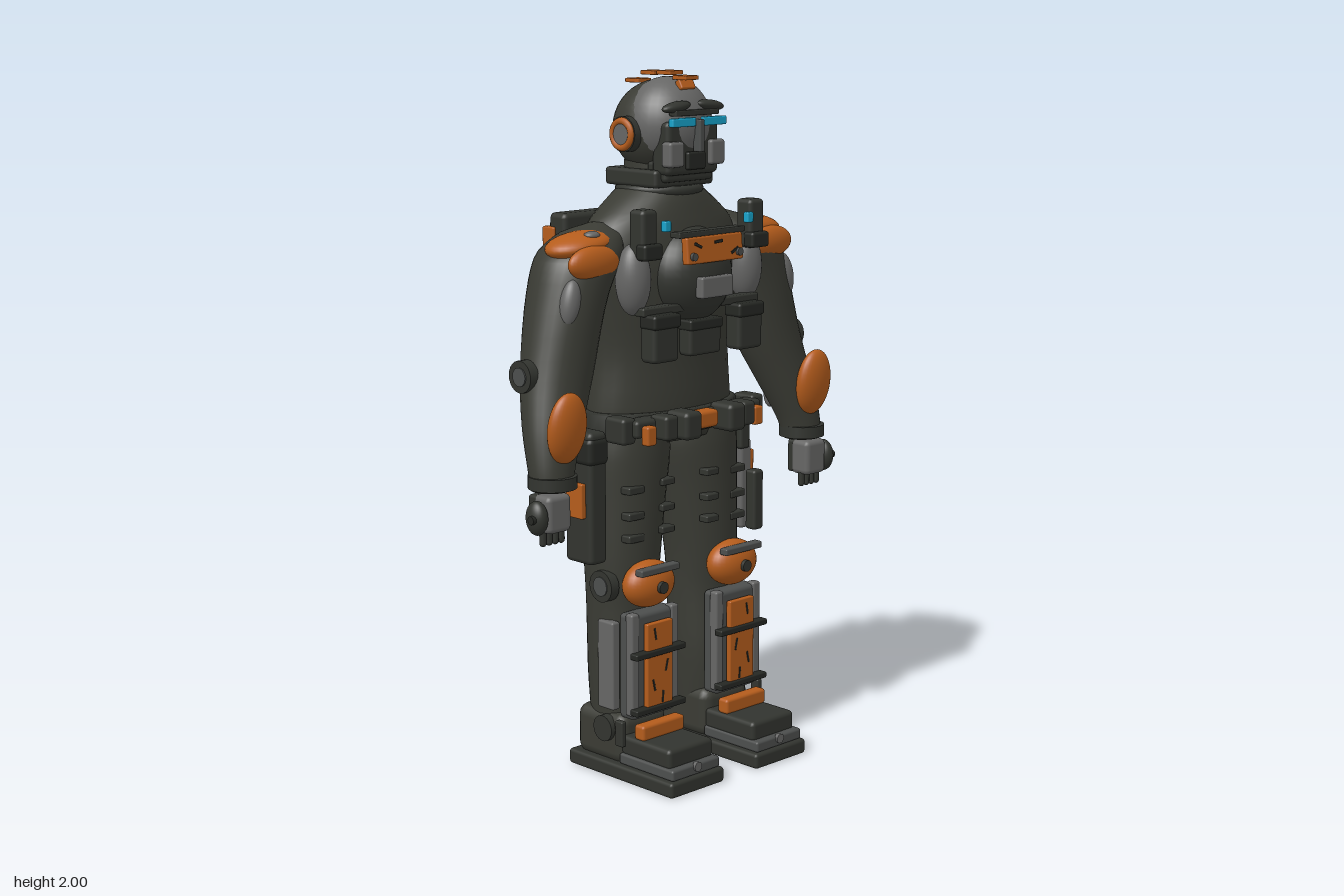
import * as THREE from 'three';
import { RoundedBoxGeometry } from 'three/addons/geometries/RoundedBoxGeometry.js';

const mat = (name, color) => Object.assign(new THREE.MeshStandardMaterial({ color }), { name });
const suit = mat('darkSuit', 0x3a3b34);
const gear = mat('charcoalGear', 0x32342f);
const black = mat('blackTrim', 0x252723);
const steel = mat('steelGrey', 0x666665);
const iron = mat('ironGrey', 0x4c4e4d);
const orange = mat('burntOrange', 0xb45c1c);
const cyan = mat('cyanGlow', 0x18a4cc);

// Closed smooth body from horizontal oval sections, bottom to top: [y, cx, cz, rx, rz]
function loft(sections, mirror = 1, n = 32) {
  const pos = [], idx = [];
  for (const [y, cx, cz, rx, rz] of sections) for (let j = 0; j < n; j++) {
    const a = j / n * Math.PI * 2;
    pos.push(cx * mirror + rx * Math.cos(a), y, cz + rz * Math.sin(a));
  }
  const m = sections.length;
  for (let i = 0; i < m - 1; i++) for (let j = 0; j < n; j++) {
    const a = i * n + j, b = i * n + (j + 1) % n;
    idx.push(a, a + n, b, b, a + n, b + n);
  }
  [0, m - 1].forEach((i, end) => {
    const [y, cx, cz] = sections[i], c = pos.length / 3;
    pos.push(cx * mirror, y, cz);
    for (let j = 0; j < n; j++) {
      const a = i * n + j, b = i * n + (j + 1) % n;
      idx.push(c, end ? b : a, end ? a : b);
    }
  });
  const g = new THREE.BufferGeometry();
  g.setAttribute('position', new THREE.Float32BufferAttribute(pos, 3));
  g.setIndex(idx);
  g.computeVertexNormals();
  return g;
}

// Insert sections along a smooth curve through the given ones
function smooth(sections, steps = 24) {
  const c = new THREE.CatmullRomCurve3(sections.map(s => new THREE.Vector3(s[0], s[1], s[2])));
  const r = new THREE.CatmullRomCurve3(sections.map(s => new THREE.Vector3(s[3], s[4], 0)));
  return Array.from({ length: steps + 1 }, (_, i) => {
    const p = c.getPoint(i / steps), q = r.getPoint(i / steps);
    return [p.x, p.y, p.z, q.x, q.y];
  });
}

export function createModel() {
  const root = new THREE.Group();
  root.name = 'armouredTrooper';
  const add = (name, geo, m, x = 0, y = 0, z = 0, rot = [0, 0, 0]) => {
    const mesh = new THREE.Mesh(geo, m);
    mesh.name = name;
    mesh.position.set(x, y, z);
    mesh.rotation.set(...rot);
    root.add(mesh);
    return mesh;
  };
  const box = (name, m, [w, h, d], [x, y, z], rot) =>
    add(name, new RoundedBoxGeometry(w, h, d, 2, Math.min(w, h, d) * 0.22), m, x, y, z, rot);
  const ball = (name, m, [rx, ry, rz], [x, y, z], rot) =>
    add(name, new THREE.SphereGeometry(1, 32, 20), m, x, y, z, rot).scale.set(rx, ry, rz);
  const disc = (name, m, r, len, [x, y, z], rot) =>
    add(name, new THREE.CylinderGeometry(r, r, len, 24), m, x, y, z, rot);
  const X = [0, 0, Math.PI / 2], Z = [Math.PI / 2, 0, 0];
  const both = fn => [1, -1].forEach(fn);

  // Torso, collar
  add('torso', loft(smooth([[.96, 0, -.03, .245, .12], [1.05, 0, -.03, .255, .14], [1.2, 0, -.03, .243, .14],
    [1.35, 0, -.03, .262, .152], [1.48, 0, -.03, .285, .155], [1.58, 0, -.03, .25, .14],
    [1.64, 0, -.03, .175, .125], [1.68, 0, -.03, .115, .11]])), suit);
  disc('neck', suit, .1, .12, [0, 1.69, -.03]);
  box('collar', gear, [.23, .05, .21], [0, 1.705, -.03]);
  add('collarRing', new THREE.TorusGeometry(.112, .014, 10, 32), gear, 0, 1.67, -.03, Z);

  // Head, helmet shell and face
  ball('head', suit, [.136, .136, .138], [0, 1.84, -.022]);
  ball('helmetShell', steel, [.131, .133, .118], [0, 1.851, .006]);
  box('faceMask', gear, [.2, .15, .07], [0, 1.79, .075]);
  box('jaw', gear, [.19, .06, .08], [0, 1.725, .055]);
  box('noseRidge', iron, [.018, .09, .03], [0, 1.825, .128]);
  box('mouthGuard', black, [.07, .05, .03], [0, 1.755, .108]);
  box('browBar', gear, [.17, .016, .03], [0, 1.888, .11]);
  both(s => {
    box('visor', cyan, [.092, .024, .02], [s * .06, 1.863, .124]);
    ball('brow', gear, [.052, .015, .022], [s * .066, 1.905, .105], [0, 0, -s * .12]);
    box('cheekPlate', steel, [.056, .07, .04], [s * .08, 1.775, .107]);
    disc('earCup', gear, .05, .03, [s * .135, 1.828, -.022], X);
    add('earRing', new THREE.TorusGeometry(.037, .01, 10, 28), orange, s * .152, 1.828, -.022, [0, Math.PI / 2, 0]);
    disc('earCentre', steel, .03, .02, [s * .148, 1.828, -.022], X);
  });
  [[.075, 1.982], [.013, 1.994], [-.052, 1.992], [-.115, 1.968]].forEach(([z, y]) => {
    box('crestPlate', orange, [.052, .012, .055], [0, y, z]);
  });
  box('crestFront', orange, [.055, .03, .02], [0, 1.962, .075], [-.5, 0, 0]);

  // Chest armour, orange plate and pouches
  ball('chestPlate', gear, [.14, .14, .11], [0, 1.435, .085]);
  box('chestBib', orange, [.22, .075, .025], [0, 1.515, .183], [-.08, 0, 0]);
  box('chestBibTop', gear, [.26, .016, .04], [0, 1.56, .165]);
  box('chestUnit', steel, [.125, .06, .03], [0, 1.41, .192]);
  box('chestStrap', gear, [.46, .024, .04], [0, 1.352, .125]);
  box('centrePouch', gear, [.125, .1, .05], [0, 1.262, .135]);
  box('centreFlap', black, [.13, .03, .055], [0, 1.3, .137]);
  [[-.07, 1.53], [.075, 1.505], [.01, 1.535]].forEach(([x, y]) =>
    box('chestScuff', black, [.03, .008, .004], [x, y, .197], [0, 0, x * 6]));
  both(s => {
    ball('pectoral', steel, [.05, .1, .05], [s * .222, 1.44, .095]);
    box('shoulderStrap', gear, [.058, .14, .06], [s * .212, 1.565, .125]);
    box('strapClip', black, [.07, .045, .04], [s * .212, 1.52, .15]);
    box('chestLight', cyan, [.024, .03, .02], [s * .163, 1.588, .165]);
    disc('bibBolt', iron, .011, .012, [s * .09, 1.5, .2], Z);
    box('chestPouch', gear, [.098, .13, .06], [s * .168, 1.275, .145]);
    box('chestFlap', black, [.104, .04, .066], [s * .168, 1.325, .147]);
  });

  // Belt
  add('belt', loft([[.985, 0, -.03, .262, .148], [.99, 0, -.03, .272, .158], [1.05, 0, -.03, .272, .158], [1.055, 0, -.03, .262, .148]]), gear);
  box('beltFront', gear, [.5, .05, .06], [0, 1.025, .11]);
  box('buckle', orange, [.078, .05, .05], [0, 1.028, .15]);
  both(s => {
    box('beltPouch', gear, [.065, .08, .09], [s * .088, 1.025, .16]);
    box('sidePouch', gear, [.05, .07, .07], [s * .155, 1.025, .15]);
    box('beltClip', orange, [.035, .055, .03], [s * .215, 1.008, .15]);
    box('hipPouch', gear, [.05, .075, .08], [s * .258, 1.02, .08]);
    box('rearPouch', gear, [.1, .09, .07], [s * .07, 1.025, -.222]);
    box('rearSidePouch', gear, [.075, .08, .07], [s * .195, 1.025, -.18]);
  });

  // Backpack
  box('packFrame', gear, [.46, .4, .07], [0, 1.4, -.21]);
  box('packLower', gear, [.36, .1, .05], [0, 1.18, -.19]);
  box('packPanel', iron, [.21, .27, .04], [0, 1.44, -.258]);
  box('packTop', black, [.15, .02, .02], [0, 1.55, -.283]);
  box('packBarLow', black, [.15, .016, .02], [0, 1.5, -.283]);
  box('packBase', black, [.2, .06, .05], [0, 1.28, -.26]);
  add('packDialRing', new THREE.TorusGeometry(.038, .013, 10, 28), orange, 0, 1.415, -.288);
  disc('packDial', steel, .03, .03, [0, 1.415, -.283], Z);
  both(s => {
    box('packSideStrip', orange, [.025, .32, .05], [s * .225, 1.4, -.24]);
    box('packEdge', gear, [.02, .34, .03], [s * .198, 1.4, -.25]);
    disc('tank', steel, .035, .19, [s * .165, 1.375, -.275]);
    disc('tankCap', black, .037, .025, [s * .165, 1.475, -.275]);
    box('tankFoot', gear, [.08, .055, .08], [s * .165, 1.25, -.25]);
    box('packLight', cyan, [.034, .065, .02], [s * .125, 1.535, -.275]);
  });

  both(s => {
    // Arms
    add('arm', loft(smooth([[.89, .505, .07, .06, .055], [.95, .497, .06, .069, .062], [1.05, .47, .035, .088, .077],
      [1.2, .42, .0, .107, .097], [1.4, .363, -.02, .112, .116], [1.5, .315, -.025, .125, .12],
      [1.56, .27, -.03, .09, .09], [1.59, .24, -.03, .02, .02]]), s), suit);
    ball('shoulderPadTop', orange, [.108, .036, .078], [s * .335, 1.538, .0], [0, 0, -s * .12]);
    ball('shoulderPadFront', orange, [.09, .048, .032], [s * .348, 1.495, .072]);
    ball('padScuff', steel, [.025, .012, .02], [s * .325, 1.566, .04]);
    ball('upperArmPatch', steel, [.03, .068, .03], [s * .425, 1.39, .06], [0, 0, s * .2]);
    disc('elbowDisc', gear, .045, .03, [s * .532, 1.195, -.01], X);
    disc('elbowBolt', iron, .026, .034, [s * .534, 1.195, -.01], X);
    ball('forearmGuard', orange, [.065, .1, .035], [s * .495, 1.065, .122], [.12, 0, 0]);
    ball('forearmScuff', steel, [.02, .04, .02], [s * .475, 1.01, -.035]);
    disc('cuff', gear, .068, .035, [s * .503, .912, .07]);
    // Hands
    box('palm', steel, [.085, .105, .07], [s * .518, .83, .085]);
    box('handBack', gear, [.08, .1, .04], [s * .52, .83, .052]);
    ball('handGuard', gear, [.026, .048, .036], [s * .578, .825, .09]);
    disc('knuckleBolt', black, .012, .03, [s * .595, .825, .1], X);
    for (let i = 0; i < 4; i++)
      add('finger', new THREE.CapsuleGeometry(.01, .035, 4, 10), gear, s * (.487 + i * .022), .767, .085);

    // Legs
    add('leg', loft(smooth([[.1, .165, -.015, .085, .09], [.3, .162, -.015, .1, .105], [.48, .162, -.02, .104, .1],
      [.6, .16, -.02, .11, .108], [.8, .147, -.032, .126, .125], [.92, .138, -.035, .135, .132], [1.0, .135, -.03, .125, .125]]), s), suit);
    [.85, .775, .71].forEach(y => {
      box('thighBandInner', gear, [.05, .02, .035], [s * .09, y, .085]);
      box('thighBandOuter', gear, [.06, .022, .04], [s * .205, y - .01, .072]);
    });
    // Knees
    ball('kneePad', orange, [.09, .068, .055], [s * .17, .567, .1]);
    box('kneeBar', iron, [.15, .02, .03], [s * .17, .615, .138]);
    disc('kneeBolt', gear, .017, .02, [s * .17, .565, .155], Z);
    disc('kneeDisc', gear, .046, .03, [s * .262, .56, .015], X);
    disc('kneeDiscCap', iron, .028, .034, [s * .263, .56, .015], X);
    // Shin guards
    box('shinPlate', iron, [.17, .31, .06], [s * .17, .335, .095]);
    both(k => box('shinRail', steel, [.03, .3, .03], [s * .17 + k * .078, .345, .115]));
    box('shinInset', orange, [.1, .265, .018], [s * .168, .33, .138]);
    [[.02, .43], [-.025, .33], [.025, .28], [-.01, .24]].forEach(([x, y]) =>
      box('shinScuff', black, [.006, .035, .004], [s * (.168 + x), y, .147], [0, 0, x * 9]));
    [.375, .21].forEach(y => box('shinStrap', black, [.195, .018, .03], [s * .17, y, .14]));
    box('calfPlate', steel, [.03, .26, .065], [s * .258, .33, .028]);
    box('ankleBand', orange, [.165, .045, .04], [s * .17, .15, .145]);
    // Boots
    box('sole', gear, [.212, .045, .43], [s * .172, .0225, .09]);
    box('bootHeel', suit, [.185, .15, .2], [s * .17, .11, -.012]);
    box('bootToe', gear, [.175, .06, .2], [s * .17, .1, .175]);
    box('toeCap', iron, [.188, .032, .22], [s * .172, .062, .187]);
    box('toeRidge', gear, [.16, .03, .1], [s * .17, .11, .22], [.12, 0, 0]);
    disc('toeBolt', steel, .014, .012, [s * .17, .07, .297], Z);
    disc('ankleDisc', gear, .038, .024, [s * .265, .14, .02], X);
    box('ankleTab', gear, [.018, .075, .03], [s * .28, .145, .1]);
  });

  // Right thigh case
  box('thighCase', gear, [.065, .38, .11], [-.307, .825, -.01]);
  box('thighCaseLid', black, [.075, .08, .12], [-.307, .96, -.01]);
  box('thighCasePlate', orange, [.018, .1, .07], [-.347, .82, -.01]);
  // Left thigh holster
  box('holster', steel, [.045, .27, .07], [.3, .77, .0]);
  box('holsterTop', gear, [.04, .08, .09], [.285, .92, .0]);
  box('holsterPlate', orange, [.018, .1, .062], [.326, .82, .0]);
  box('holsterRail', gear, [.04, .18, .04], [.265, .74, .1]);
  return root;
}
